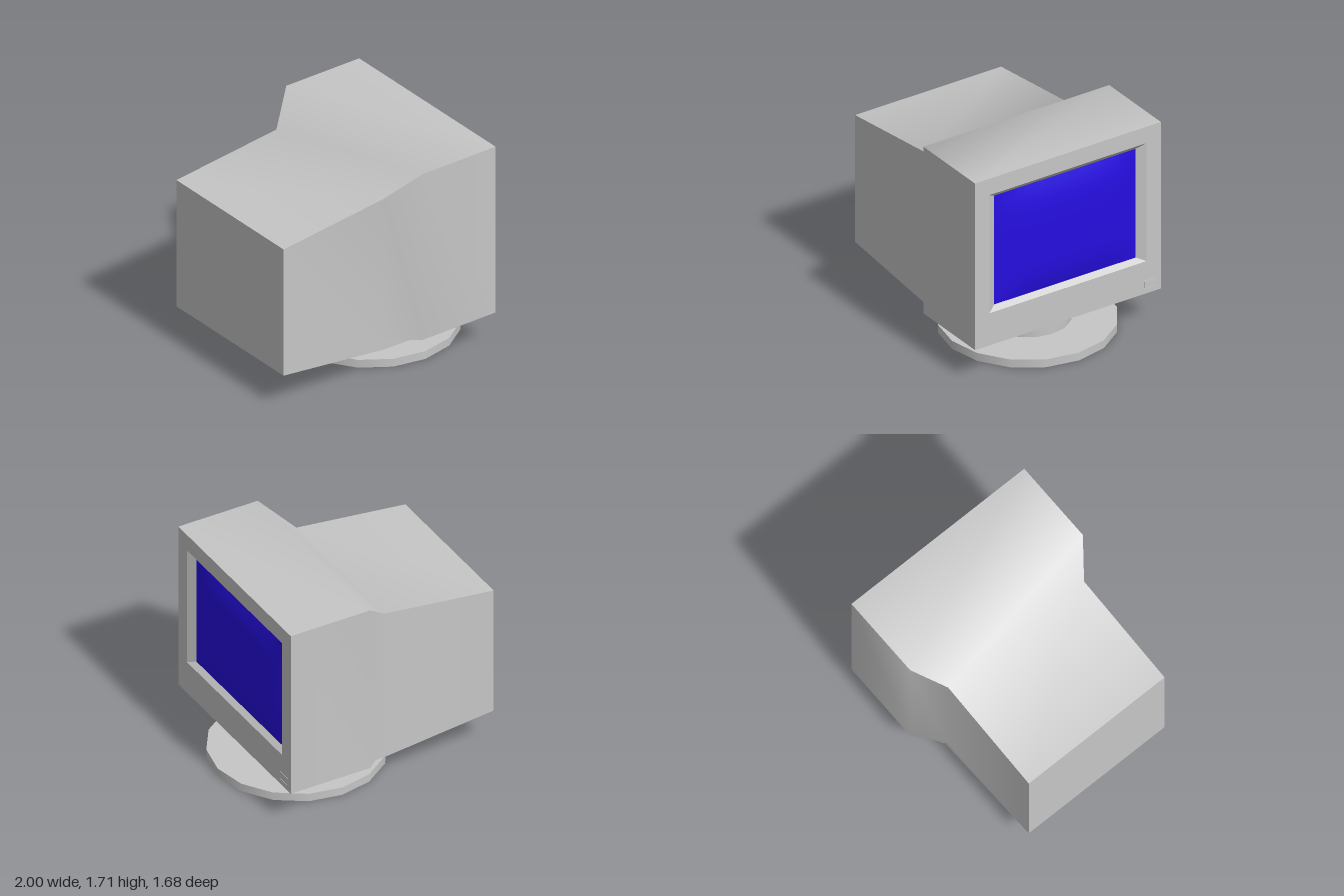
import * as THREE from 'three';
import { mergeGeometries, toCreasedNormals } from 'three/addons/utils/BufferGeometryUtils.js';

const FRONT = 0.855; // x of the bezel plane; the screen faces +x

// Joins rectangular sections [x, yBottom, yTop, halfWidth] along x
function loft(sections, { back = false, front = false } = {}) {
  const rings = sections.map(([x, y0, y1, w]) => [[x, y0, w], [x, y0, -w], [x, y1, -w], [x, y1, w]]);
  const pos = [];
  const quad = (a, b, c, d) => pos.push(...a, ...b, ...c, ...a, ...c, ...d);
  for (let s = 0; s < rings.length - 1; s++) {
    for (let i = 0; i < 4; i++) {
      const j = (i + 1) % 4;
      quad(rings[s][i], rings[s][j], rings[s + 1][j], rings[s + 1][i]);
    }
  }
  const first = rings[0], last = rings[rings.length - 1];
  if (back) quad(first[3], first[2], first[1], first[0]);
  if (front) quad(...last);
  const geo = new THREE.BufferGeometry();
  geo.setAttribute('position', new THREE.Float32BufferAttribute(pos, 3));
  geo.computeVertexNormals();
  return geo;
}

function rectangle(Type, x0, x1, y0, y1) {
  const r = new Type();
  r.moveTo(x0, y0);
  r.lineTo(x1, y0);
  r.lineTo(x1, y1);
  r.lineTo(x0, y1);
  r.closePath();
  return r;
}

export function createModel() {
  const group = new THREE.Group();
  const casing = new THREE.MeshStandardMaterial({ color: 0xc6c6c6 });
  casing.name = 'casing grey';
  const blue = new THREE.MeshStandardMaterial({ color: 0x260ee0 });
  blue.name = 'screen blue';

  const add = (name, geo, mat, x = 0, y = 0, z = 0) => {
    const mesh = new THREE.Mesh(geo, mat);
    mesh.name = name;
    mesh.position.set(x, y, z);
    group.add(mesh);
  };

  // Tapered housing that flares out to the bezel, with a lower belly over the stand
  const upper = loft([
    [-1, 0.37, 1.385, 0.66],
    [-0.06, 0.285, 1.495, 0.66],
    [0.17, 0.285, 1.71, 0.84],
    [FRONT, 0.285, 1.71, 0.84],
  ], { back: true });
  const belly = loft([
    [-1, 0.3, 0.37, 0.66],
    [-0.06, 0.2, 0.285, 0.66],
    [0.69, 0.2, 0.285, 0.68],
  ], { back: true, front: true });
  add('housing', toCreasedNormals(mergeGeometries([upper, belly]), 0.8), casing);

  // Bezel face with the screen opening
  const face = rectangle(THREE.Shape, -0.84, 0.84, 0.285, 1.71);
  face.holes.push(rectangle(THREE.Path, -0.71, 0.71, 0.56, 1.57));
  add('bezel', new THREE.ShapeGeometry(face).rotateY(Math.PI / 2), casing, FRONT);

  // Sloping rim down to the glass
  add('screenRim', loft([[FRONT, 0.56, 1.57, 0.71], [0.815, 0.595, 1.525, 0.64]]), casing);

  // Gently bulged glass
  const glass = new THREE.PlaneGeometry(1.28, 0.93, 16, 12);
  const p = glass.attributes.position;
  for (let i = 0; i < p.count; i++) {
    const u = p.getX(i) / 0.64, v = p.getY(i) / 0.465;
    p.setZ(i, 0.042 * (1 - u ** 4) * (1 - v ** 4));
  }
  glass.computeVertexNormals();
  add('screen', glass.rotateY(Math.PI / 2), blue, 0.815, 1.06, 0);

  // Power button inside a thin frame
  const frame = rectangle(THREE.Shape, -0.06, 0.06, -0.036, 0.036);
  frame.holes.push(rectangle(THREE.Path, -0.052, 0.052, -0.028, 0.028));
  const frameGeo = new THREE.ExtrudeGeometry(frame, { depth: 0.004, bevelEnabled: false });
  add('buttonFrame', frameGeo.rotateY(Math.PI / 2), casing, FRONT, 0.362, -0.742);
  add('powerButton', new THREE.BoxGeometry(0.005, 0.05, 0.098), casing, FRONT, 0.362, -0.742);

  // Swivel stand
  add('standNeck', new THREE.CylinderGeometry(0.333, 0.333, 0.14, 16), casing, 0.318, 0.135, 0);
  add('standBase', new THREE.CylinderGeometry(0.682, 0.682, 0.067, 16), casing, 0.318, 0.0335, 0);

  return group;
}
